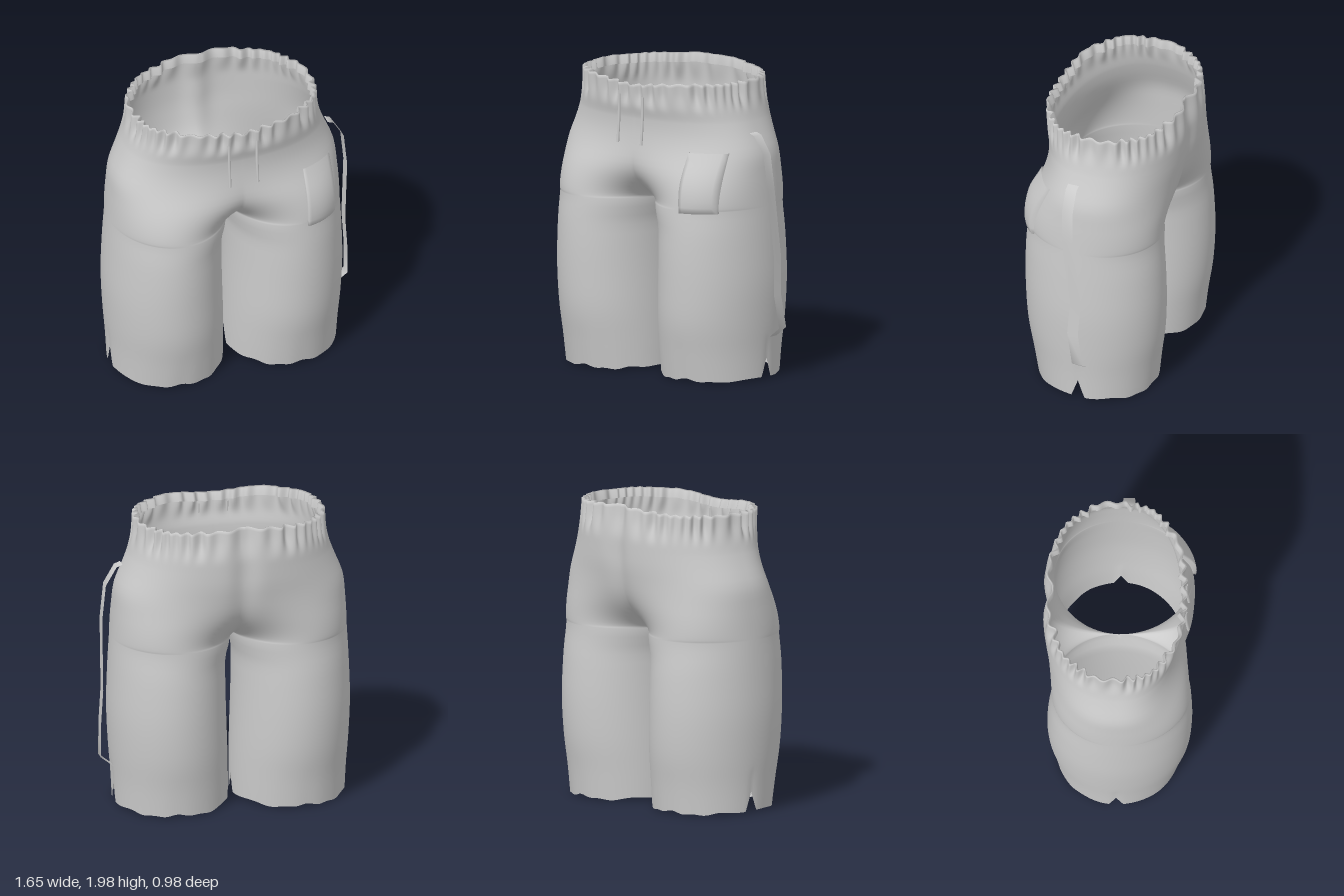
import * as THREE from 'three';
import { mergeVertices } from 'three/addons/utils/BufferGeometryUtils.js';

const N = 160;          // steps around one half, from front seam to back seam
const CX = -0.035;      // x of the centre seam
const CROTCH = 1.15, WAIST = 1.96, HEM = 0.03;

// height, outer half width, front depth, back depth
const PROFILE = [
  [0.03, 0.76, 0.40, 0.39], [0.2, 0.768, 0.43, 0.41], [0.4, 0.782, 0.465, 0.438],
  [0.65, 0.792, 0.48, 0.45], [0.9, 0.785, 0.483, 0.442], [1.15, 0.772, 0.472, 0.423],
  [1.35, 0.76, 0.45, 0.435], [1.5, 0.744, 0.418, 0.458], [1.6, 0.705, 0.408, 0.474],
  [1.7, 0.665, 0.41, 0.48], [1.8, 0.638, 0.432, 0.482], [1.96, 0.625, 0.45, 0.468],
];
const profile = new THREE.CubicInterpolant(
  new Float32Array(PROFILE.map(p => p[0])),
  new Float32Array(PROFILE.flatMap(p => p.slice(1))), 3);

const { clamp, lerp, smoothstep } = THREE.MathUtils;
const material = () => new THREE.MeshStandardMaterial({ color: 0xcccccc, side: THREE.DoubleSide });

// Half outline at one height: a full leg ellipse that opens into half a waist
function halfRing(y) {
  const [w, front, back] = profile.evaluate(y);
  const inner = 0.015 + 0.02 * smoothstep(y, 0.1, 0.9);
  const gap = inner * (1 - smoothstep(y, 0.98, CROTCH));
  const u = clamp((y - CROTCH) / 0.5, 0, 1);
  const open = Math.sqrt(1 - (1 - u) ** 2);
  const ring = [];
  for (let i = 0; i <= N; i++) {
    const t = i / N, a = Math.PI * (1 - 2 * t), h = a / 2;
    const r = (w - gap) / 2;
    const legX = gap + r + r * Math.cos(a), legZ = Math.sin(a);
    const hipX = w * Math.pow(Math.max(0, Math.cos(h)), 0.88);
    const hipZ = Math.sign(h) * Math.pow(Math.abs(Math.sin(h)), 0.88);
    let x = lerp(legX, hipX, open), z = lerp(legZ, hipZ, open);
    if ((i === 0 || i === N) && y >= CROTCH - 1e-6) x = 0;
    if (z < 0) z *= 1 - 0.07 * u * Math.exp(-((x / 0.08) ** 2));
    ring.push([x, z]);
  }
  const zs = ring.map(p => p[1]), zMax = Math.max(...zs), zMin = -Math.min(...zs);
  return ring.map(([x, z]) => [x, z > 0 ? z / zMax * front : z / zMin * back]);
}

// One row of finished points, with hem slits, waist gathers and uneven edges
function clothRow(y, inset = 0) {
  const gather = smoothstep(y, 1.76, 1.9);
  return halfRing(y).map(([x, z], i) => {
    const t = i / N;
    const wave = 0.5 - 0.5 * Math.cos(2 * Math.PI * (20 * t + 0.35 * Math.sin(17 * t)));
    const amount = gather * (0.025 + 0.012 * Math.sin(31 * t)) * wave + inset;
    const low = 1 - clamp((y - HEM) / 0.3, 0, 1);
    const slit = 0.125 * Math.max(0, 1 - Math.abs(z) / 0.045);
    const ripple = 0.007 * Math.sin(x * 19) + 0.005 * Math.sin(x * 41 + z * 9);
    const high = smoothstep(y, 1.7, WAIST);
    const centre = Math.exp(-((x / 0.22) ** 2));
    const rise = z > 0 ? -0.03 * centre : 0.033 * Math.exp(-((x / 0.35) ** 2));
    return [x * (1 - amount / 0.62), y + low * (slit + ripple) + high * (rise + 0.008 * wave - 0.004),
      z * (1 - amount / 0.45)];
  });
}

// Surface from rows of points, wound outward for either side
function loft(rows, flip = false) {
  const n = rows[0].length, index = [];
  for (let j = 0; j + 1 < rows.length; j++) {
    for (let i = 0; i + 1 < n; i++) {
      const a = j * n + i, b = a + 1, c = a + n, d = c + 1;
      index.push(...(flip ? [a, c, b, b, c, d] : [a, b, c, b, d, c]));
    }
  }
  return { position: rows.flat(2), index };
}

function toGeometry(parts) {
  const position = [], index = [];
  for (const p of parts) {
    const base = position.length / 3;
    for (const v of p.position) position.push(v);
    for (const k of p.index) index.push(k + base);
  }
  let g = new THREE.BufferGeometry();
  g.setAttribute('position', new THREE.Float32BufferAttribute(position, 3));
  g.setIndex(index);
  g = mergeVertices(g, 1e-4);
  g.computeVertexNormals();
  return g;
}

// Both halves share the centre seam; the top rows fold inside the waistband
function clothGeometry() {
  const rows = [];
  const span = (from, to, count) => {
    for (let k = 0; k < count; k++) rows.push(clothRow(lerp(from, to, k / count)));
  };
  span(HEM, 0.33, 6);
  span(0.33, CROTCH, 14);
  for (let k = 0; k < 16; k++) rows.push(clothRow(CROTCH + 0.55 * (k / 16) ** 1.6));
  span(1.7, WAIST, 12);
  rows.push(clothRow(WAIST), clothRow(1.955, 0.012), clothRow(1.9, 0.022));
  return toGeometry([1, -1].map(s =>
    loft(rows.map(r => r.map(([x, y, z]) => [CX + s * x, y, z])), s < 0)));
}

// Front depth of the cloth on the left leg at a given x and y
function frontDepth(x, y) {
  const ring = halfRing(y).slice(0, N / 2 + 1);
  const k = ring.findIndex(p => p[0] + CX >= x);
  const [a, b] = [ring[k - 1], ring[k]];
  return lerp(a[1], b[1], (x - CX - a[0]) / (b[0] - a[0]));
}

// Patch pocket with a raised face and folded rim on three sides
function pocketGeometry() {
  const rows = [], n = 10;
  for (let j = -1; j <= n; j++) {
    const row = [];
    for (let i = -1; i <= n + 1; i++) {
      const x = lerp(0.39, 0.61, clamp(i / n, 0, 1));
      const y = lerp(1.14, 1.52, clamp(j / n, 0, 1));
      const rim = i < 0 || i > n || j < 0;
      const puff = 0.02 + 0.018 * Math.sin(Math.PI * (y - 1.14) / 0.38);
      row.push([x, y, frontDepth(x, y) + (rim ? -0.004 : puff)]);
    }
    rows.push(row);
  }
  return toGeometry([loft(rows)]);
}

// Loose ribbon on the left side: x, y and middle z along its length
function ribbonGeometry() {
  const path = [[0.66, 1.635, 0.057], [0.70, 1.62, 0.057], [0.772, 1.5, 0.053], [0.798, 1.27, 0.044],
    [0.806, 0.81, -0.015], [0.816, 0.58, 0], [0.828, 0.36, -0.038], [0.745, 0.295, -0.045]];
  const rows = path.map(([x, y, z]) => [[x, y, z + 0.037], [x, y, z - 0.037]]);
  return toGeometry([loft(rows.reverse())]);
}

export function createModel() {
  const group = new THREE.Group();
  group.name = 'shorts';
  const add = (name, geometry) => {
    const mesh = new THREE.Mesh(geometry, material());
    mesh.name = name;
    group.add(mesh);
    return mesh;
  };

  add('shortsCloth', clothGeometry());
  add('frontPocket', pocketGeometry());
  add('sideRibbon', ribbonGeometry());

  // Drawstrings hanging from the front of the waistband
  for (const s of [-1, 1]) {
    const path = new THREE.CatmullRomCurve3([
      new THREE.Vector3(CX - 0.005 + s * 0.095, 1.855, 0.436),
      new THREE.Vector3(CX - 0.005 + s * 0.095, 1.72, 0.438),
      new THREE.Vector3(CX - 0.005 + s * 0.095, 1.54, 0.452),
    ]);
    add(s > 0 ? 'leftDrawstring' : 'rightDrawstring', new THREE.TubeGeometry(path, 12, 0.01, 6));
  }
  return group;
}
